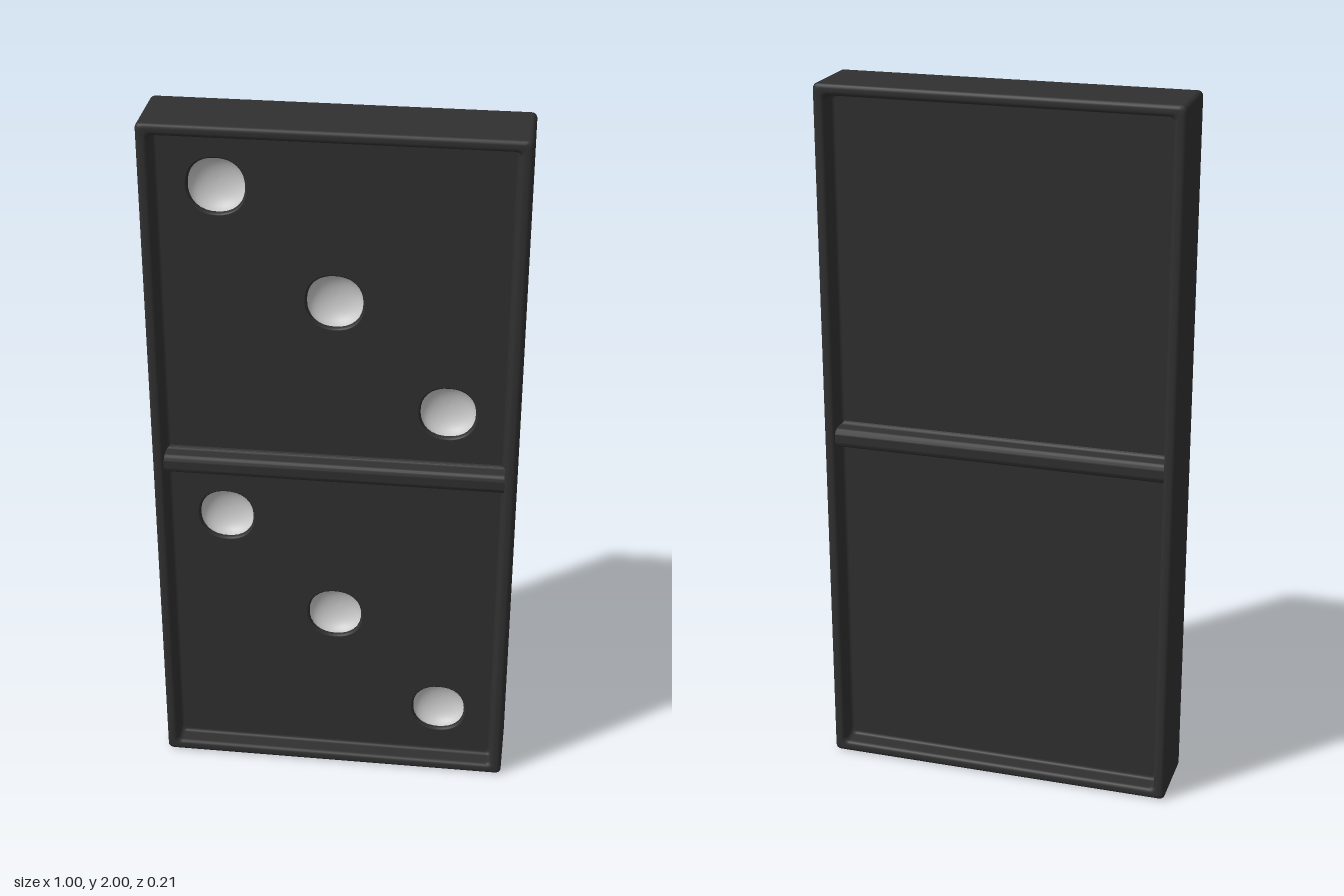
import * as THREE from 'three';
import { toCreasedNormals } from 'three/addons/utils/BufferGeometryUtils.js';

const HALF_DEPTH = 0.106, FLOOR = 0.052, ROUND = 0.012, FILLET = 0.01;
const RIM = 0.032, BAR = 0.028, BAR_TOP = 0.1;
const PIP_LIP = 0.081, PIP_R = 0.075, PIP_SINK = 0.012, PIP_DEPTH = 0.04, SIDES = 32;

// Points of an arc, as [u, v] pairs, angles in quarter turns
function arc(cu, cv, r, from, to, steps = 4) {
  return Array.from({ length: steps + 1 }, (_, i) => {
    const a = (from + ((to - from) * i) / steps) * (Math.PI / 2);
    return [cu + r * Math.cos(a), cv + r * Math.sin(a)];
  });
}

// Frame: a cross-section of [inset, z] points carried round a rounded rectangle
function frameGeometry() {
  const top = HALF_DEPTH - ROUND;
  const front = [
    ...arc(ROUND, top, ROUND, 2, 1),
    ...arc(RIM - ROUND, top, ROUND, 1, 0),
    ...arc(RIM + FILLET, FLOOR + FILLET, FILLET, 2, 3),
  ];
  const section = [...front.map(([u, z]) => [u, -z]).reverse(), ...front];
  const positions = [], index = [], r = 0.014;
  let n = 0;
  for (const [inset, z] of section) {
    const x = 0.502 - inset - r, y = 1 - inset - r;
    const ring = [[1, 1], [-1, 1], [-1, -1], [1, -1]].flatMap(
      ([sx, sy], q) => arc(sx * x, 1 + sy * y, r, q, q + 1));
    ring.forEach(([px, py]) => positions.push(px, py, z));
    n = ring.length;
  }
  for (let i = 0; i < section.length - 1; i++) {
    for (let j = 0; j < n; j++) {
      const a = i * n + j, b = i * n + ((j + 1) % n);
      index.push(a, b, a + n, b, b + n, a + n);
    }
  }
  const geo = new THREE.BufferGeometry();
  geo.setAttribute('position', new THREE.Float32BufferAttribute(positions, 3));
  geo.setIndex(index);
  geo.computeVertexNormals();
  return geo;
}

// Divider: rounded ridge on both faces, flaring into the floor
function barGeometry() {
  const side = [
    ...arc(BAR + FILLET, FLOOR + FILLET, FILLET, 3, 2),
    ...arc(BAR - 0.018, BAR_TOP - 0.018, 0.018, 0, 1, 6),
  ];
  const half = [...side, ...side.map(([u, v]) => [-u, v]).reverse()];
  const outline = [...half, ...half.map(([u, v]) => [-u, -v])];
  const shape = new THREE.Shape(outline.map(([u, v]) => new THREE.Vector2(u, v)));
  const geo = new THREE.ExtrudeGeometry(shape, { depth: 0.95, bevelEnabled: false });
  geo.translate(0, 0, -0.475);
  // Lay the length along x and the ridge along z
  geo.rotateY(Math.PI / 2).rotateX(Math.PI / 2);
  return toCreasedNormals(geo, 0.6);
}

// Scale that turns a circle into a slightly squared circle
function squircle(a) {
  const p = 2.25;
  return Math.pow(Math.abs(Math.cos(a)) ** p + Math.abs(Math.sin(a)) ** p, -1 / p);
}

// Round surface sunk into the front, from [radius, z] points running inward
function sunken(profile) {
  const geo = new THREE.LatheGeometry(profile.map(([r, z]) => new THREE.Vector2(r, z)), SIDES);
  geo.rotateX(Math.PI / 2);
  const pos = geo.attributes.position;
  for (let i = 0; i < pos.count; i++) {
    const k = squircle(Math.atan2(pos.getY(i), pos.getX(i)));
    pos.setXY(i, pos.getX(i) * k, pos.getY(i) * k);
  }
  return geo;
}

export function createModel() {
  const group = new THREE.Group();
  const dark = new THREE.MeshStandardMaterial({ color: 0x303030 });
  const darkThin = new THREE.MeshStandardMaterial({ color: 0x303030, side: THREE.DoubleSide });
  const light = new THREE.MeshStandardMaterial({ color: 0xcccccc, side: THREE.DoubleSide });
  const add = (name, geo, mat, x = 0, y = 0, z = 0) => {
    const mesh = new THREE.Mesh(geo, mat);
    mesh.name = name;
    mesh.position.set(x, y, z);
    group.add(mesh);
  };

  add('frame', frameGeometry(), dark);
  add('dividerBar', barGeometry(), dark, 0, 1, 0);

  // Three pips on a diagonal in each half
  const pips = [];
  for (const base of [0, 1]) {
    for (const step of [-1, 0, 1]) pips.push([step * 0.308, base + 0.503 - step * 0.315]);
  }

  // Recessed front panel with pip openings, and the plain back panel
  const w = 0.502 - RIM - FILLET / 2, h = 1 - RIM - FILLET / 2;
  const panel = new THREE.Shape([[-w, 1 - h], [w, 1 - h], [w, 1 + h], [-w, 1 + h]].map(
    ([x, y]) => new THREE.Vector2(x, y)));
  for (const [px, py] of pips) {
    const pts = [];
    for (let i = 0; i < SIDES; i++) {
      const a = (i / SIDES) * Math.PI * 2, r = PIP_LIP * squircle(a);
      pts.push(new THREE.Vector2(px + r * Math.cos(a), py + r * Math.sin(a)));
    }
    panel.holes.push(new THREE.Path(pts));
  }
  add('frontPanel', new THREE.ShapeGeometry(panel), dark, 0, 0, FLOOR);
  add('backPanel', new THREE.PlaneGeometry(2 * w, 2 * h).rotateY(Math.PI), dark, 0, 1, -FLOOR);

  // Dark lip and pale bowl of each pip
  const lip = sunken(arc(PIP_LIP, -PIP_SINK, 1, 1, 2).map(([u, v]) => [
    PIP_LIP + (u - PIP_LIP) * (PIP_LIP - PIP_R), (v + PIP_SINK) * PIP_SINK - PIP_SINK]));
  const bowl = sunken(arc(0, 0, 1, 0, 1, 10).map(([u, v]) => [
    PIP_R * u, -PIP_SINK - PIP_DEPTH * v]));
  for (const [px, py] of pips) {
    add('pipLip', lip, darkThin, px, py, FLOOR);
    add('pip', bowl, light, px, py, FLOOR);
  }
  return group;
}
